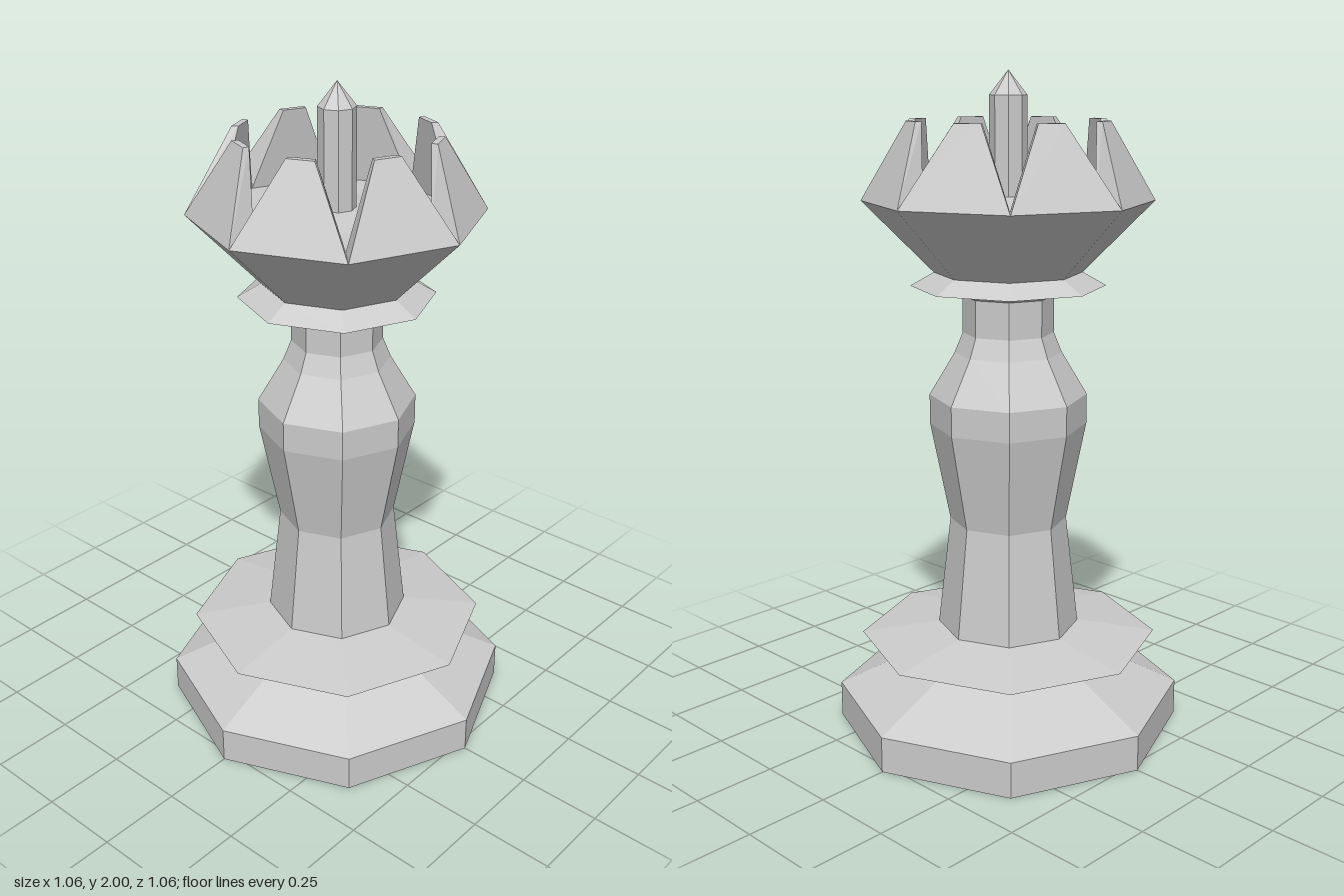
import * as THREE from 'three';

const SIDES = 8;
const HALF = Math.PI / SIDES;
const material = new THREE.MeshStandardMaterial({ color: 0xcccccc, flatShading: true });

// Eight-sided turned part from [radius, height] pairs, bottom to top
function turned(name, profile) {
  const points = profile.map(([r, y]) => new THREE.Vector2(r, y));
  const mesh = new THREE.Mesh(new THREE.LatheGeometry(points, SIDES), material);
  mesh.name = name;
  return mesh;
}

// One crown tooth facing +z: a wide foot on the rim tapering to a thin, inward-leaning tip
function toothGeometry() {
  const ring = (y, outZ, outW, inZ, inW) =>
    [[-outW, y, outZ], [outW, y, outZ], [inW, y, inZ], [-inW, y, inZ]];
  const c = Math.cos(HALF), s = Math.sin(HALF);
  const foot = ring(1.63, 0.43 * c, 0.43 * s, 0.335 * c, 0.335 * s);
  const tip = ring(1.86, 0.297, 0.04, 0.278, 0.036);
  const positions = [];
  const quad = (a, b, d, e) => positions.push(...a, ...b, ...d, ...a, ...d, ...e);
  for (let k = 0; k < 4; k++) {
    const n = (k + 1) % 4;
    quad(foot[k], foot[n], tip[n], tip[k]);
  }
  quad(...tip);
  const geometry = new THREE.BufferGeometry();
  geometry.setAttribute('position', new THREE.Float32BufferAttribute(positions, 3));
  geometry.computeVertexNormals();
  return geometry;
}

export function createModel() {
  const model = new THREE.Group();
  model.name = 'chessQueen';

  model.add(
    turned('base', [[0, 0], [0.53, 0], [0.53, 0.11], [0.255, 0.24]]),
    turned('baseFlange', [[0.255, 0.24], [0.457, 0.283], [0.217, 0.32]]),
    turned('column', [
      [0.217, 0.32], [0.178, 0.66], [0.237, 0.96], [0.237, 1.05],
      [0.16, 1.18], [0.136, 1.24], [0.136, 1.35],
    ]),
    turned('collar', [[0.136, 1.35], [0.175, 1.38], [0.29, 1.38], [0.22, 1.42]]),
    // Flared cup with a slightly domed floor
    turned('crownCup', [[0.22, 1.42], [0.43, 1.63], [0.335, 1.63], [0.185, 1.63], [0, 1.65]]),
    turned('finial', [[0.055, 1.62], [0.055, 1.93], [0, 2]]),
  );

  // One tooth on each side of the rim
  const teeth = new THREE.Group();
  teeth.name = 'crownTeeth';
  const geometry = toothGeometry();
  for (let i = 0; i < SIDES; i++) {
    const tooth = new THREE.Mesh(geometry, material);
    tooth.name = 'crownTooth';
    tooth.rotation.y = (2 * i + 1) * HALF;
    teeth.add(tooth);
  }
  model.add(teeth);

  return model;
}
